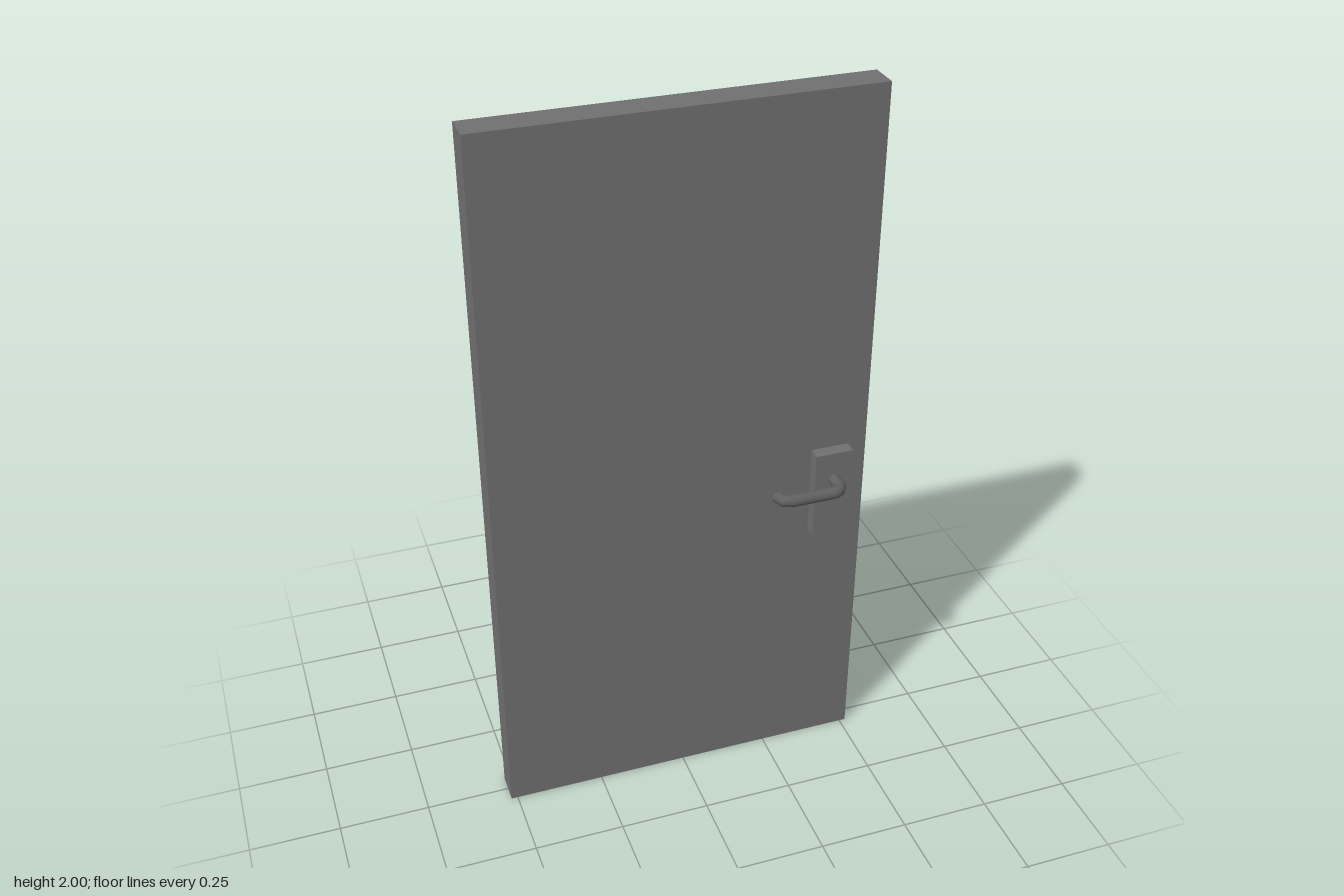
import * as THREE from 'three';

const panelMaterial = new THREE.MeshStandardMaterial({ color: 0x707070 });
const leverMaterial = new THREE.MeshStandardMaterial({ color: 0x606060 });
const HANDLE_Y = 0.919, TUBE_R = 0.0167, BEND = 0.028;

function box(name, w, h, d, x, y, z) {
  const mesh = new THREE.Mesh(new THREE.BoxGeometry(w, h, d), panelMaterial);
  mesh.name = name;
  mesh.position.set(x, y, z);
  return mesh;
}

// Ring stations of a quarter bend around (cx, cz), starting at angle from
function bend(cx, cz, from, steps) {
  return Array.from({ length: steps + 1 }, (_, i) => {
    const angle = from + (i / steps) * Math.PI / 2;
    return { x: cx + BEND * Math.cos(angle), z: cz + BEND * Math.sin(angle), angle };
  });
}

// Bent lever: out of the plate, along the door, then back towards it.
// Each ring of a closed cylinder is turned and moved to its station.
function createLever(name) {
  const stations = [
    { x: 0.415, z: 0.07, angle: 0 },
    ...bend(0.387, 0.112, 0, 4),
    ...bend(0.268, 0.112, Math.PI / 2, 2),
  ];
  const last = stations.length - 1;
  const geometry = new THREE.CylinderGeometry(TUBE_R, TUBE_R, 1, 16, last).rotateX(Math.PI / 2);
  const { position, normal } = geometry.attributes;
  const up = new THREE.Vector3(0, 1, 0), p = new THREE.Vector3(), n = new THREE.Vector3();
  for (let i = 0; i < position.count; i++) {
    p.fromBufferAttribute(position, i);
    n.fromBufferAttribute(normal, i);
    const { x, z, angle } = stations[Math.round((p.z + 0.5) * last)];
    p.setZ(0).applyAxisAngle(up, -angle);
    n.applyAxisAngle(up, -angle);
    position.setXYZ(i, p.x + x, p.y, p.z + z);
    normal.setXYZ(i, n.x, n.y, n.z);
  }
  const lever = new THREE.Mesh(geometry, leverMaterial);
  lever.name = name;
  lever.position.y = HANDLE_Y;
  return lever;
}

export function createModel() {
  const door = new THREE.Group();
  door.name = 'door';
  door.add(box('doorPanel', 1.036, 2, 0.085, 0, 1, 0));

  // Plate and lever on both faces
  for (const [side, s] of [['front', 1], ['back', -1]]) {
    door.add(box(side + 'Plate', 0.105, 0.256, 0.0375, 0.4135, 0.872, s * 0.06));
    const lever = createLever(side + 'Lever');
    if (s < 0) lever.rotation.x = Math.PI;
    door.add(lever);
  }
  return door;
}
